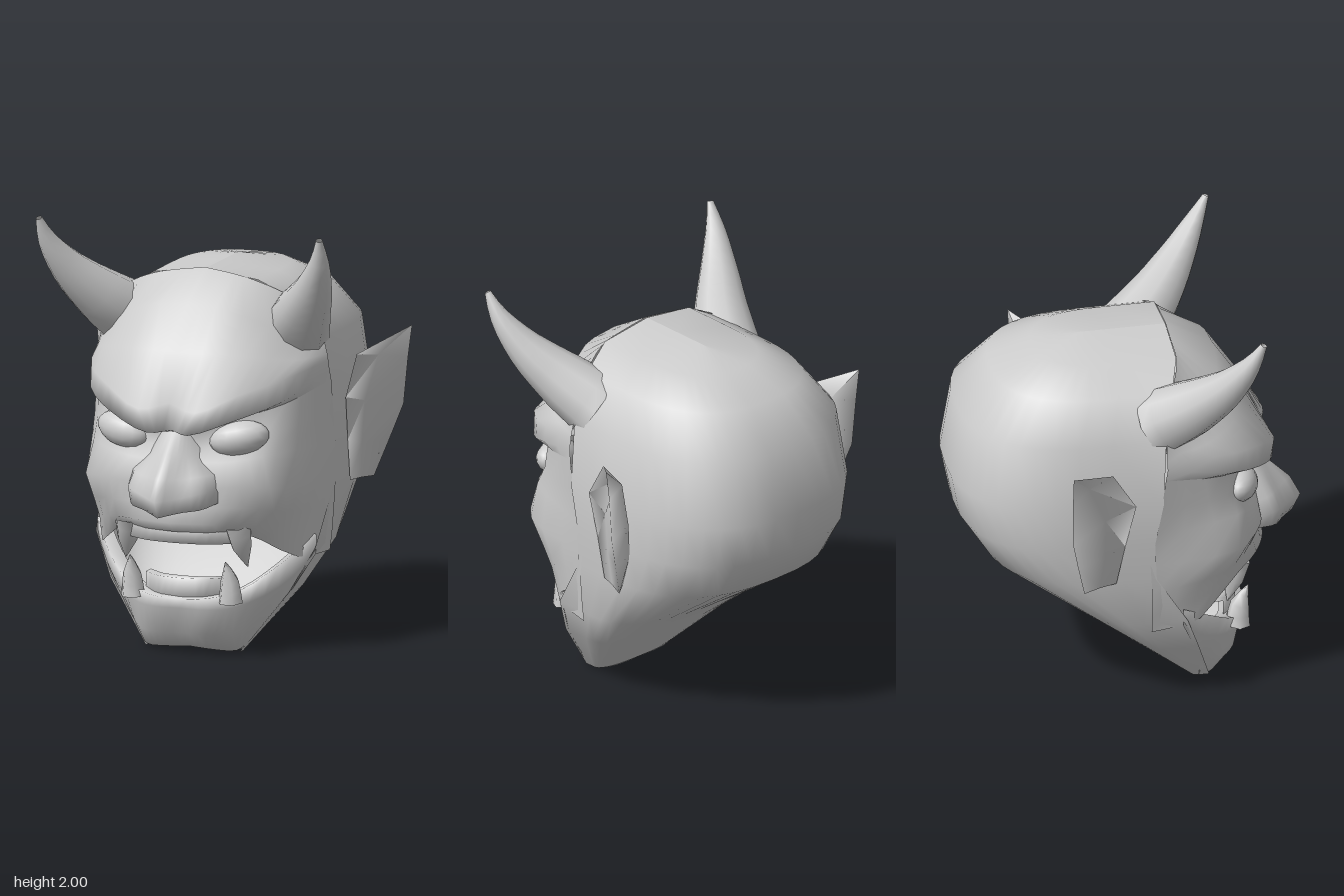
import * as THREE from 'three';
import { mergeVertices } from 'three/addons/utils/BufferGeometryUtils.js';

const clay = new THREE.MeshStandardMaterial({ color: 0xcccccc, side: THREE.DoubleSide });
clay.name = 'light grey';

// Skin a list of equally long rows of [x, y, z] points
function loft(rows, { closed = false, flip = false } = {}) {
  const n = rows[0].length, index = [];
  for (let i = 0; i < rows.length - 1; i++) {
    for (let j = 0; j < (closed ? n : n - 1); j++) {
      const a = i * n + j, b = i * n + (j + 1) % n, c = a + n, d = b + n;
      if (flip) index.push(a, b, c, b, d, c);
      else index.push(a, c, b, b, c, d);
    }
  }
  const g = new THREE.BufferGeometry();
  g.setAttribute('position', new THREE.Float32BufferAttribute(rows.flat(2), 3));
  g.setIndex(index);
  g.computeVertexNormals();
  return g;
}

// Mirror a half row that starts on the centre line
const mirrorRow = half => [...half.slice(1).reverse().map(([x, y, z]) => [-x, y, z]), ...half];

// Round a half row with a curve, then mirror it
function smoothRow(points, steps = 12) {
  const curve = new THREE.CatmullRomCurve3(points.map(p => new THREE.Vector3(...p)), false, 'centripetal');
  const half = curve.getPoints(steps).map(p => p.toArray());
  half[0][0] = 0;
  return mirrorRow(half);
}

// Mirror a geometry across x, keeping faces outward
function mirrored(geometry) {
  const g = geometry.clone().scale(-1, 1, 1);
  const ix = g.index.array;
  for (let i = 0; i < ix.length; i += 3) [ix[i], ix[i + 1]] = [ix[i + 1], ix[i]];
  g.computeVertexNormals();
  return g;
}

// Curved, tapering tube
function taperedTube(points, radii, sides, steps = 12) {
  const curve = new THREE.CatmullRomCurve3(points.map(p => new THREE.Vector3(...p)));
  let g = new THREE.TubeGeometry(curve, steps, 1, sides);
  const pos = g.attributes.position, v = new THREE.Vector3();
  for (let i = 0; i < pos.count; i++) {
    const t = Math.floor(i / (sides + 1)) / steps;
    const s = t * (radii.length - 1), k = Math.min(Math.floor(s), radii.length - 2);
    const r = THREE.MathUtils.lerp(radii[k], radii[k + 1], s - k);
    const centre = curve.getPointAt(t);
    v.fromBufferAttribute(pos, i).sub(centre).multiplyScalar(r).add(centre);
    pos.setXYZ(i, v.x, v.y, v.z);
  }
  g.deleteAttribute('uv');
  g.deleteAttribute('normal');
  g = mergeVertices(g, 1e-5);
  g.computeVertexNormals();
  return g;
}

// Skull section: superellipse round the back, straight sides forward
function skullRow([y, w, back, bend, edge]) {
  const half = [], e = 2 / 2.6;
  for (let i = 0; i <= 10; i++) {
    const t = i / 10 * Math.PI / 2;
    half.push([w * Math.sin(t) ** e, y, bend - (bend - back) * Math.max(0, Math.cos(t)) ** e]);
  }
  half.push([w, y, edge]);
  return mirrorRow(half);
}

export function createModel() {
  const model = new THREE.Group();
  model.name = 'hornedHead';
  const add = (name, geometry) => {
    const mesh = new THREE.Mesh(geometry, clay);
    mesh.name = name;
    model.add(mesh);
  };
  const addPair = (name, geometry) => {
    add('left' + name, geometry);
    add('right' + name, mirrored(geometry));
  };

  // Skull: height, half width, back z, bend z, front edge z
  const skull = [
    [1.745, 0, -0.2, 0, 0.2], [1.71, 0.26, -0.42, -0.05, 0.2], [1.62, 0.42, -0.62, -0.1, 0.15],
    [1.44, 0.54, -0.78, -0.15, 0.1], [1.13, 0.58, -0.83, -0.15, 0.08], [0.92, 0.577, -0.79, -0.15, 0.04],
    [0.73, 0.565, -0.67, -0.1, 0.05], [0.48, 0.54, -0.3, 0, 0.2], [0.28, 0.44, -0.05, 0.13, 0.27],
    [0, 0.23, 0.25, 0.31, 0.36],
  ];
  add('skull', loft(skull.map(skullRow), { flip: true }));

  // Forehead and heavy slanted brow
  const brow = [
    [[0, 1.75, 0.2], [0.14, 1.73, 0.2], [0.27, 1.7, 0.2], [0.42, 1.62, 0.15], [0.54, 1.44, 0.1]],
    [[0, 1.62, 0.42], [0.2, 1.6, 0.4], [0.36, 1.52, 0.32], [0.48, 1.44, 0.2], [0.55, 1.41, 0.1]],
    [[0, 1.42, 0.55], [0.18, 1.42, 0.53], [0.35, 1.4, 0.45], [0.48, 1.37, 0.3], [0.56, 1.37, 0.1]],
    [[0, 1.2, 0.64], [0.14, 1.17, 0.68], [0.32, 1.25, 0.6], [0.47, 1.3, 0.43], [0.565, 1.34, 0.1]],
    [[0, 1.07, 0.62], [0.1, 1.06, 0.67], [0.3, 1.13, 0.61], [0.47, 1.2, 0.44], [0.57, 1.3, 0.1]],
    [[0, 1.05, 0.57], [0.1, 1.05, 0.56], [0.28, 1.12, 0.5], [0.46, 1.18, 0.37], [0.575, 1.25, 0.09]],
  ];
  add('brow', loft(brow.map(r => smoothRow(r))));

  // Eye hollows, cheeks and upper lip
  const cheeks = [
    brow[5],
    [[0, 1, 0.58], [0.1, 0.98, 0.55], [0.28, 1.02, 0.5], [0.45, 1.06, 0.4], [0.578, 1.1, 0.07]],
    [[0, 0.92, 0.62], [0.1, 0.92, 0.6], [0.28, 0.93, 0.55], [0.45, 0.96, 0.45], [0.577, 0.95, 0.03]],
    [[0, 0.8, 0.62], [0.15, 0.8, 0.61], [0.32, 0.82, 0.58], [0.49, 0.8, 0.45], [0.57, 0.8, 0.02]],
    [[0, 0.7, 0.61], [0.15, 0.71, 0.59], [0.32, 0.71, 0.53], [0.48, 0.68, 0.38], [0.565, 0.65, 0.03]],
    [[0, 0.64, 0.65], [0.15, 0.64, 0.62], [0.3, 0.63, 0.54], [0.47, 0.58, 0.33], [0.555, 0.52, 0.03]],
    [[0, 0.59, 0.59], [0.15, 0.59, 0.56], [0.29, 0.58, 0.46], [0.48, 0.45, 0.27], [0.545, 0.44, 0.03]],
  ];
  add('cheeks', loft(cheeks.map(r => smoothRow(r))));

  // Hooked nose with wide nostrils
  const nose = [
    [[0, 1.06, 0.6], [0.04, 1.06, 0.59], [0.07, 1.05, 0.56], [0.09, 1.04, 0.52]],
    [[0, 0.97, 0.68], [0.06, 0.96, 0.65], [0.1, 0.95, 0.61], [0.14, 0.94, 0.54]],
    [[0, 0.87, 0.78], [0.08, 0.86, 0.71], [0.16, 0.87, 0.66], [0.21, 0.87, 0.57]],
    [[0, 0.77, 0.83], [0.09, 0.78, 0.75], [0.18, 0.8, 0.69], [0.23, 0.79, 0.57]],
    [[0, 0.69, 0.79], [0.09, 0.71, 0.73], [0.17, 0.72, 0.68], [0.22, 0.74, 0.57]],
    [[0, 0.7, 0.66], [0.09, 0.74, 0.62], [0.16, 0.74, 0.59], [0.2, 0.75, 0.55]],
  ];
  add('nose', loft(nose.map(r => smoothRow(r, 8))));

  // Lower jaw and square chin
  const jaw = [
    [[0, 0.28, 0.44], [0.14, 0.28, 0.42], [0.25, 0.31, 0.37], [0.38, 0.41, 0.27], [0.5, 0.54, 0.15]],
    [[0, 0.27, 0.56], [0.14, 0.28, 0.55], [0.27, 0.31, 0.47], [0.42, 0.42, 0.34], [0.54, 0.54, 0.18]],
    [[0, 0.22, 0.52], [0.14, 0.22, 0.52], [0.25, 0.23, 0.46], [0.41, 0.31, 0.32], [0.535, 0.45, 0.18]],
    [[0, 0.1, 0.5], [0.12, 0.1, 0.5], [0.23, 0.1, 0.44], [0.33, 0.18, 0.34], [0.44, 0.28, 0.25]],
    [[0, 0.02, 0.4], [0.12, 0.01, 0.39], [0.22, 0.01, 0.37], [0.26, 0.04, 0.34], [0.335, 0.14, 0.3]],
    [[0, 0, 0.25], [0.1, 0, 0.25], [0.17, 0, 0.26], [0.21, 0, 0.28], [0.23, 0, 0.31]],
  ];
  add('lowerJaw', loft(jaw.map(r => smoothRow(r))));

  // Rows of teeth: front and underside bands following the mouth arch
  const teeth = (top, bottom, z, w) => loft(
    [[top, -0.06], [top, 0], [bottom, 0], [bottom, -0.06]].map(([y, dz]) =>
      smoothRow([[0, y, z + dz], [w * 0.55, y, z - 0.02 + dz], [w, y, z - 0.09 + dz]], 6)));
  add('upperTeeth', teeth(0.62, 0.535, 0.58, 0.27));
  add('lowerTeeth', teeth(0.36, 0.26, 0.52, 0.2));

  // Fangs
  addPair('UpperFang', taperedTube([[0.27, 0.62, 0.48], [0.28, 0.53, 0.46], [0.3, 0.42, 0.43]], [0.065, 0.05, 0.003], 6, 4));
  addPair('LowerFang', taperedTube([[0.24, 0.26, 0.49], [0.24, 0.36, 0.5], [0.235, 0.455, 0.54]], [0.06, 0.045, 0.003], 6, 4));

  // Eyes
  addPair('Eye', new THREE.SphereGeometry(1, 16, 10).scale(0.14, 0.08, 0.08)
    .rotateZ(0.2).rotateY(0.3).translate(0.285, 1.03, 0.495));

  // Horns
  addPair('Horn', taperedTube(
    [[0.4, 1.47, 0.09], [0.49, 1.58, 0.23], [0.6, 1.73, 0.37], [0.67, 1.88, 0.47], [0.69, 1.99, 0.525]],
    [0.16, 0.135, 0.1, 0.06, 0.015], 10));

  // Pointed ears: front edge, hollow, rear edge, back of each section
  const ear = [
    [[0.785, 1.43, -0.38], [0.785, 1.43, -0.38], [0.785, 1.43, -0.38], [0.785, 1.43, -0.38]],
    [[0.6, 1.32, -0.16], [0.66, 1.3, -0.28], [0.765, 1.28, -0.38], [0.64, 1.3, -0.33]],
    [[0.59, 1.14, -0.05], [0.625, 1.1, -0.2], [0.745, 1.06, -0.375], [0.6, 1.08, -0.33]],
    [[0.58, 0.93, -0.1], [0.61, 0.9, -0.2], [0.69, 0.9, -0.34], [0.565, 0.9, -0.3]],
    [[0.575, 0.735, -0.14], [0.6, 0.735, -0.22], [0.63, 0.73, -0.3], [0.56, 0.735, -0.25]],
  ];
  addPair('Ear', loft(ear, { closed: true }));

  return model;
}
